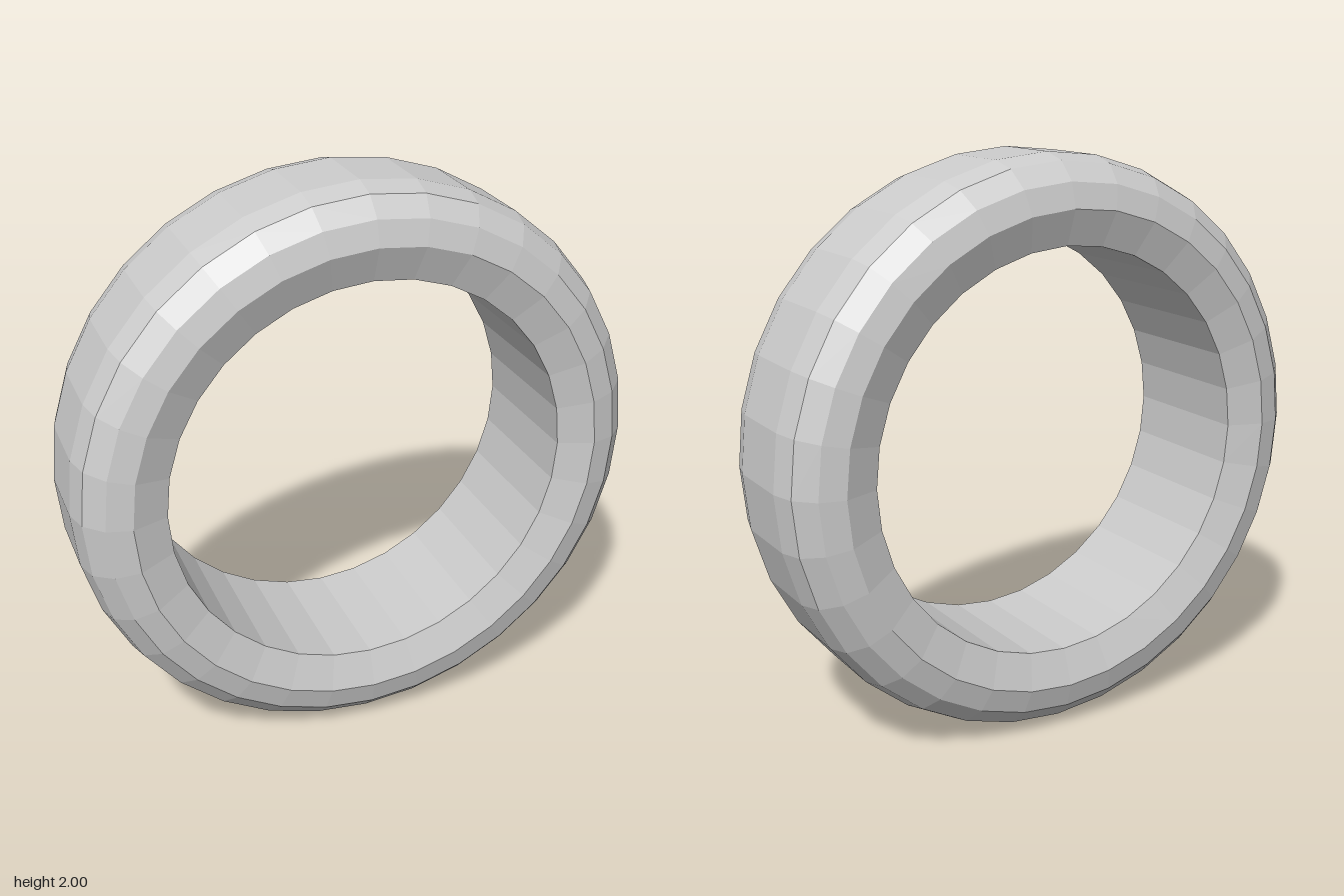
import * as THREE from 'three';

export function createModel() {
  const group = new THREE.Group();
  group.name = 'ring';
  const material = new THREE.MeshStandardMaterial({ color: 0xcccccc, flatShading: true });

  const outerR = 1, halfWidth = 0.3, round = 0.17; // rounded outer shoulders
  const innerR = 0.707, innerHalf = 0.255;         // bore with dished side faces

  // One shoulder as a three-step quarter round, from tread to side
  const shoulder = [];
  for (let i = 0; i <= 3; i++) {
    const a = (i / 3) * Math.PI / 2;
    shoulder.push(new THREE.Vector2(
      outerR - round + round * Math.cos(a),
      halfWidth - round + round * Math.sin(a)));
  }
  const half = [...shoulder, new THREE.Vector2(innerR, innerHalf)];
  const mirrored = half.map(p => new THREE.Vector2(p.x, -p.y)).reverse();

  // Closed cross-section: up the outside, back down the bore
  const profile = [...mirrored, ...half, mirrored[0].clone()];
  const geometry = new THREE.LatheGeometry(profile, 32);
  geometry.rotateX(Math.PI / 2);

  const band = new THREE.Mesh(geometry, material);
  band.name = 'ringBand';
  band.position.y = outerR;
  group.add(band);
  return group;
}
